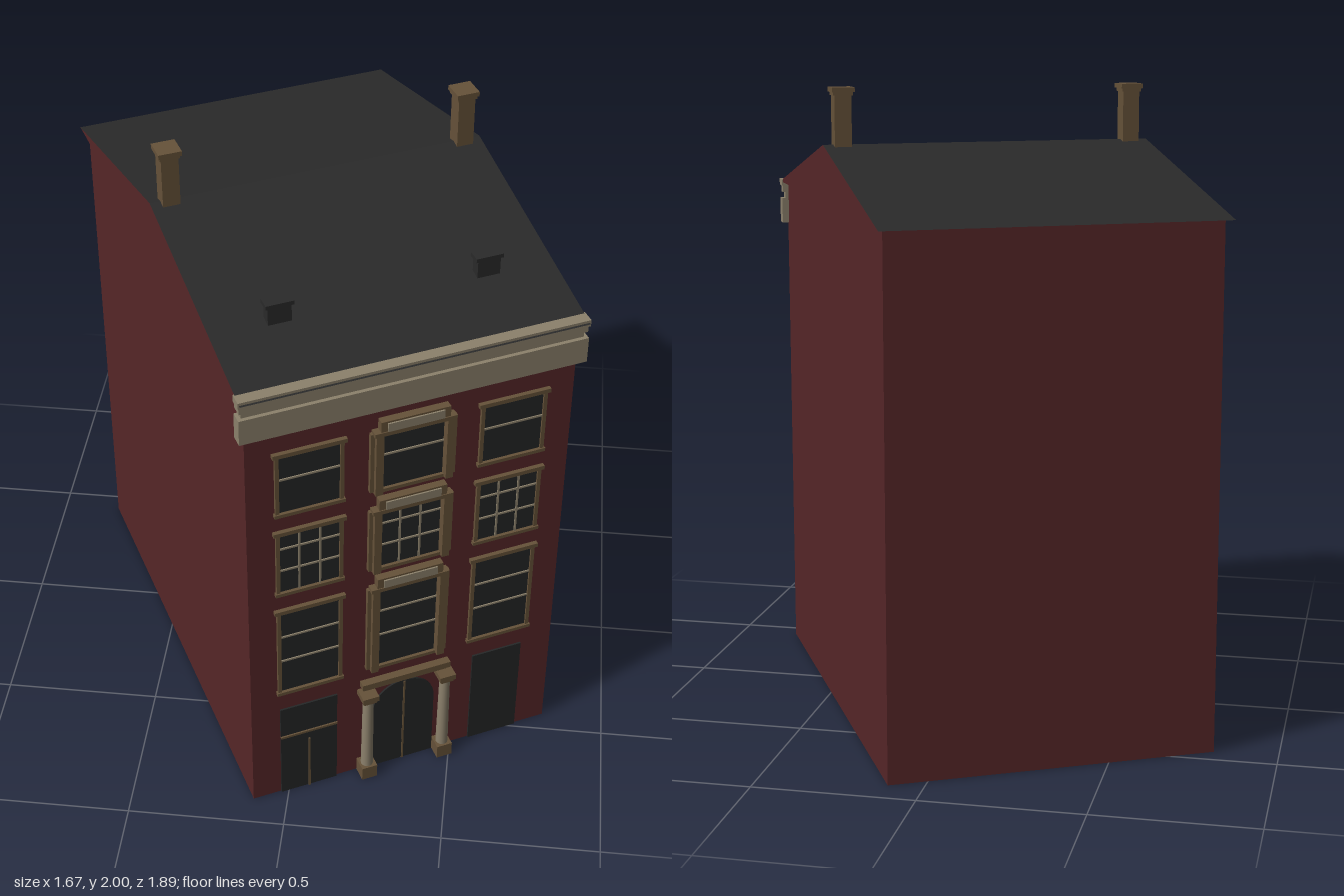
import * as THREE from 'three';

const mat = (name, color) => {
  const m = new THREE.MeshStandardMaterial({ color });
  m.name = name;
  return m;
};

export function createModel() {
  const brick = mat('red brick', 0x562628);
  const slate = mat('dark slate', 0x2a2a2a);
  const glass = mat('dark glass', 0x252727);
  const stone = mat('pale stone', 0x8c816c);
  const trim = mat('brown stone', 0x665239);

  const root = new THREE.Group();
  root.name = 'townhouse';
  const house = new THREE.Group();
  house.name = 'house';
  house.rotation.y = THREE.MathUtils.degToRad(27.4);
  root.add(house);

  const W = 0.513, D = 0.754, EAVE = 1.64; // half width, half depth, eave height

  const add = (name, geo, material, parent = house) => {
    const m = new THREE.Mesh(geo, material);
    m.name = name;
    parent.add(m);
    return m;
  };
  // box given by its limits
  const box = (name, material, x0, x1, y0, y1, z0, z1, parent) => {
    const g = new THREE.BoxGeometry(x1 - x0, y1 - y0, z1 - z0);
    g.translate((x0 + x1) / 2, (y0 + y1) / 2, (z0 + z1) / 2);
    return add(name, g, material, parent);
  };
  // box on the facade, with a protrusion p
  const face = (name, material, x0, x1, y0, y1, p, parent) =>
    box(name, material, x0, x1, y0, y1, D - 0.005, D + p, parent);

  // walls
  box('walls', brick, -W, W, 0, EAVE, -D, D);

  // gabled roof with brick gable ends
  const tri = new THREE.Shape();
  tri.moveTo(-0.788, EAVE);
  tri.lineTo(0.788, EAVE);
  tri.lineTo(0, 1.822);
  tri.closePath();
  const roof = new THREE.ExtrudeGeometry(tri, { depth: 1.064, bevelEnabled: false });
  roof.translate(0, 0, -0.532);
  roof.rotateY(Math.PI / 2);
  add('roof', roof, [brick, slate]);

  // chimneys and roof vents on both sides
  for (const s of [-1, 1]) {
    const x = s * 0.472;
    const chimney = new THREE.Group();
    chimney.name = 'chimney';
    house.add(chimney);
    const layer = (name, h, y0, y1) => box(name, trim, x - h, x + h, y0, y1, -h, h, chimney);
    layer('chimneyShaft', 0.027, 1.76, 1.975);
    layer('chimneyCollar', 0.031, 1.975, 1.985);
    layer('chimneyCap', 0.036, 1.985, 2.0);

    const v = s * 0.323;
    box('roofVent', slate, v - 0.036, v + 0.036, 1.68, 1.76, 0.503, 0.537);
    box('roofVentCap', slate, v - 0.043, v + 0.043, 1.755, 1.768, 0.499, 0.541);
  }

  // cornice
  const band = (name, h, y0, y1, z) => box(name, stone, -h, h, y0, y1, 0.739, z);
  band('frieze', 0.535, 1.5, 1.585, 0.78);
  band('corniceNeck', 0.524, 1.585, 1.605, 0.768);
  band('corniceLower', 0.532, 1.605, 1.628, 0.776);
  band('corniceUpper', 0.536, 1.628, 1.65, 0.782);

  // windows: [bottom, top, horizontal bars, number of vertical bars]
  const rows = [
    [0.46, 0.8, [0.594, 0.695], 0],
    [0.88, 1.115, [0.97, 1.055], 2],
    [1.192, 1.41, [1.32], 0],
  ];
  for (const [y0, y1, bars, uprights] of rows) {
    for (const c of [-0.32, 0, 0.32]) {
      const win = new THREE.Group();
      win.name = 'window';
      house.add(win);
      const h = 0.098;
      face('pane', glass, c - h, c + h, y0, y1, 0.004, win);
      for (const y of bars) face('glazingBar', stone, c - h, c + h, y - 0.003, y + 0.003, 0.008, win);
      for (let i = 1; i <= uprights; i++) {
        const x = c - h + (2 * h * i) / (uprights + 1);
        face('glazingUpright', stone, x - 0.003, x + 0.003, y0, y1, 0.008, win);
      }
      face('sill', trim, c - h - 0.012, c + h + 0.012, y0 - 0.008, y0 + 0.004, 0.014, win);
      if (c !== 0) {
        for (const s of [-1, 1]) {
          const x = c + s * (h + 0.002);
          face('jamb', trim, x - 0.006, x + 0.006, y0, y1, 0.01, win);
        }
        face('lintel', trim, c - h - 0.016, c + h + 0.016, y1 - 0.004, y1 + 0.01, 0.014, win);
      } else {
        // pilasters and a panelled head around the middle windows
        for (const s of [-1, 1]) {
          const x = s * 0.111;
          face('pilaster', trim, x - 0.012, x + 0.012, y0 - 0.005, y1 + 0.005, 0.028, win);
          face('pilasterEdge', trim, x + s * 0.018 - 0.006, x + s * 0.018 + 0.006, y0, y1, 0.014, win);
        }
        face('headPanel', trim, -0.108, 0.108, y1 - 0.002, y1 + 0.046, 0.025, win);
        face('headCap', trim, -0.128, 0.128, y1 - 0.004, y1 + 0.01, 0.028, win);
        box('headInset', stone, -0.088, 0.088, y1 + 0.011, y1 + 0.04, D + 0.02, D + 0.03, win);
      }
    }
  }

  // side doors
  face('leftDoor', glass, -0.419, -0.229, 0, 0.378, 0.006);
  face('doorTransom', trim, -0.419, -0.229, 0.251, 0.259, 0.011);
  face('doorSeam', trim, -0.327, -0.321, 0, 0.22, 0.011);
  face('rightDoor', glass, 0.237, 0.407, 0, 0.378, 0.006);

  // arched entrance
  const arch = new THREE.Shape();
  arch.moveTo(-0.105, 0);
  arch.lineTo(0.105, 0);
  arch.lineTo(0.105, 0.255);
  arch.absarc(0, 0.255, 0.105, 0, Math.PI, false);
  arch.closePath();
  const archGeo = new THREE.ExtrudeGeometry(arch, { depth: 0.011, bevelEnabled: false, curveSegments: 14 });
  archGeo.translate(0, 0, D - 0.005);
  add('archedDoor', archGeo, glass);
  face('archedDoorSeam', trim, -0.003, 0.003, 0, 0.355, 0.009);

  // portico: columns on plinths carrying an entablature
  for (const s of [-1, 1]) {
    const x = s * 0.132;
    face('plinth', trim, x - 0.026, x + 0.026, 0, 0.05, 0.052);
    const shaft = new THREE.CylinderGeometry(0.017, 0.02, 0.3, 16);
    shaft.translate(x, 0.198, D + 0.026);
    add('column', shaft, stone);
    face('capitalNeck', trim, x - 0.021, x + 0.021, 0.338, 0.35, 0.047);
    face('capital', trim, x - 0.027, x + 0.027, 0.35, 0.37, 0.053);
  }
  face('entablature', trim, -0.14, 0.14, 0.37, 0.383, 0.016);
  face('entablatureCap', trim, -0.15, 0.15, 0.383, 0.405, 0.026);

  return root;
}
